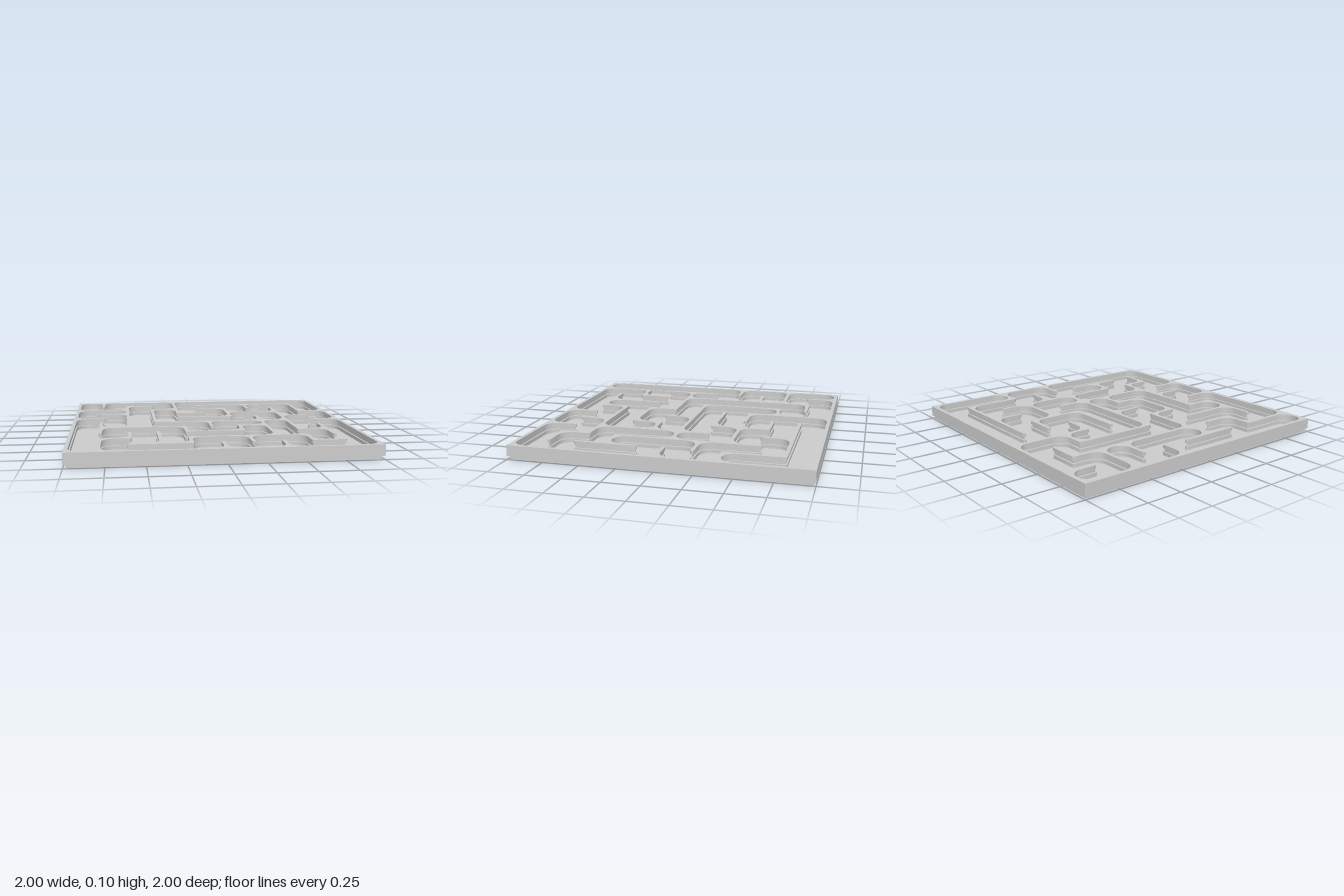
import * as THREE from 'three';
import { toCreasedNormals } from 'three/addons/utils/BufferGeometryUtils.js';

const N = 10;             // cells per side
const PITCH = 0.1975;     // distance between wall centre lines
const HALF = 0.0125;      // half the wall thickness
const FILLET = 0.084;     // radius of the inner corners
const OVERRUN = 0.01;     // how far free wall ends pass the grid point
const FLOOR = 0.025, TOP = 0.098;
const FOOT = 0.985;       // half width of the foot plate

// Side profile of every wall: [height, inset], with a groove at mid height
const PROFILE = [[FLOOR, 0], [0.05, 0], [0.051, 0.009], [0.073, 0.009], [0.074, 0], [TOP, 0]];

// Walls on the grid, x from left to right and z from back to front
const ROWS = [ // [z, x start, x end]
  [0, 0, 10], [1, 2, 3], [1, 5, 9], [2, 0, 2], [2, 3, 4], [2, 5, 6],
  [3, 1, 2], [3, 4, 5], [3, 6, 8], [3, 9, 10], [4, 0, 1], [4, 4, 6], [4, 8, 9],
  [5, 3, 8], [5, 9, 10], [6, 1, 4], [6, 6, 7], [7, 4, 6], [7, 8, 9],
  [8, 1, 2], [8, 4, 8], [9, 2, 4], [9, 8, 9], [10, 0, 10],
];
const COLUMNS = [ // [x, z start, z end]
  [0, 0, 10], [1, 0, 1], [1, 5, 7], [1, 8, 10], [2, 1, 6], [2, 7, 8],
  [3, 2, 5], [3, 7, 9], [4, 0, 3], [4, 6, 7], [4, 8, 9], [5, 5, 6], [5, 9, 10],
  [6, 2, 4], [6, 6, 7], [6, 8, 9], [7, 1, 2], [7, 4, 8], [7, 9, 10],
  [8, 2, 7], [8, 8, 9], [9, 1, 3], [9, 6, 8], [10, 0, 10],
];
const DIRS = [[1, 0], [0, 1], [-1, 0], [0, -1]]; // each a left turn after the last

// Directed unit edges "x,z,direction" of the wall grid
function wallEdges() {
  const edges = new Set();
  for (const [z, a, b] of ROWS)
    for (let x = a; x < b; x++) edges.add(`${x},${z},0`).add(`${x + 1},${z},2`);
  for (const [x, a, b] of COLUMNS)
    for (let z = a; z < b; z++) edges.add(`${x},${z},1`).add(`${x},${z + 1},3`);
  return edges;
}

// Walk along the walls with the corridor on the left; each loop is a list of turns
function traceLoops() {
  const edges = wallEdges(), left = new Set(edges), loops = [];
  while (left.size) {
    let [x, z, d] = left.values().next().value.split(',').map(Number);
    const corners = [];
    while (left.delete(`${x},${z},${d}`)) {
      x += DIRS[d][0];
      z += DIRS[d][1];
      const turn = [1, 0, -1, -2].find(t => edges.has(`${x},${z},${(d + t + 4) % 4}`));
      if (turn !== 0) corners.push({ x, z, d, turn });
      d = (d + turn + 4) % 4;
    }
    loops.push(corners);
  }
  return loops;
}

// Outline of one loop: fillets on inner corners, round wall ends and outer corners
function outline(corners, inset) {
  const points = [];
  for (const { x, z, d, turn } of corners) {
    const steps = turn === 1 ? 8 : -4 * turn;
    const start = (d + 1) * Math.PI / 2;
    const [dx, dz] = DIRS[d];
    let cx = (x - N / 2) * PITCH, cz = (z - N / 2) * PITCH;
    let radius = HALF - inset;
    if (turn === 1) {
      cx += (HALF + FILLET) * (-dz - dx);
      cz += (HALF + FILLET) * (dx - dz);
      radius = -(FILLET + inset);
    } else if (turn === -2) {
      cx += OVERRUN * dx;
      cz += OVERRUN * dz;
    }
    for (let i = 0; i <= steps; i++) {
      const a = start + turn * Math.PI / 2 * i / steps;
      points.push(new THREE.Vector2(cx + radius * Math.cos(a), cz + radius * Math.sin(a)));
    }
  }
  return points;
}

// Skin between closed rings stacked in height
function loft(rings) {
  const positions = [], index = [], n = rings[0].points.length;
  for (const { y, points } of rings) for (const p of points) positions.push(p.x, y, p.y);
  for (let r = 0; r < rings.length - 1; r++)
    for (let i = 0; i < n; i++) {
      const a = r * n + i, b = r * n + (i + 1) % n;
      index.push(a, b, b + n, a, b + n, a + n);
    }
  const geometry = new THREE.BufferGeometry();
  geometry.setAttribute('position', new THREE.Float32BufferAttribute(positions, 3));
  geometry.setIndex(index);
  return toCreasedNormals(geometry, 0.45);
}

// Square outline that a loft turns into outward faces
const square = s => [[-s, -s], [-s, s], [s, s], [s, -s]].map(p => new THREE.Vector2(...p));

export function createModel() {
  const model = new THREE.Group();
  model.name = 'mazeBoard';
  const material = new THREE.MeshStandardMaterial({ color: 0xcccccc });
  const add = (geometry, name, parent = model) => {
    const mesh = new THREE.Mesh(geometry, material);
    mesh.name = name;
    parent.add(mesh);
    return mesh;
  };

  // Foot plate, whose top is the floor of the maze
  add(new THREE.BoxGeometry(2 * FOOT, FLOOR, 2 * FOOT), 'footPlate').position.y = FLOOR / 2;

  const walls = new THREE.Group();
  walls.name = 'walls';
  model.add(walls);

  // Frame outside, with the narrow underside that overhangs the foot plate
  add(loft([
    { y: FLOOR, points: square(FOOT) },
    { y: FLOOR, points: square(1) },
    { y: 0.05, points: square(1) },
    { y: TOP, points: square(1) },
  ]), 'frameOutside', walls);

  // Grooved wall sides, and the flat tops they enclose
  const flip = points => points.map(p => new THREE.Vector2(p.x, -p.y));
  const frameTop = new THREE.Shape(flip(square(1)));
  const tops = [frameTop];
  for (const corners of traceLoops()) {
    const edge = outline(corners, 0);
    const area = THREE.ShapeUtils.area(edge);
    if (area < -3) continue; // outside of the frame, already square
    add(loft(PROFILE.map(([y, inset]) => ({ y, points: outline(corners, inset) }))), 'wallSides', walls);
    if (area > 0) frameTop.holes.push(new THREE.Path(flip(edge)));
    else tops.push(new THREE.Shape(flip(edge)));
  }
  const wallTops = add(new THREE.ShapeGeometry(tops), 'wallTops', walls);
  wallTops.rotation.x = -Math.PI / 2;
  wallTops.position.y = TOP;

  return model;
}
